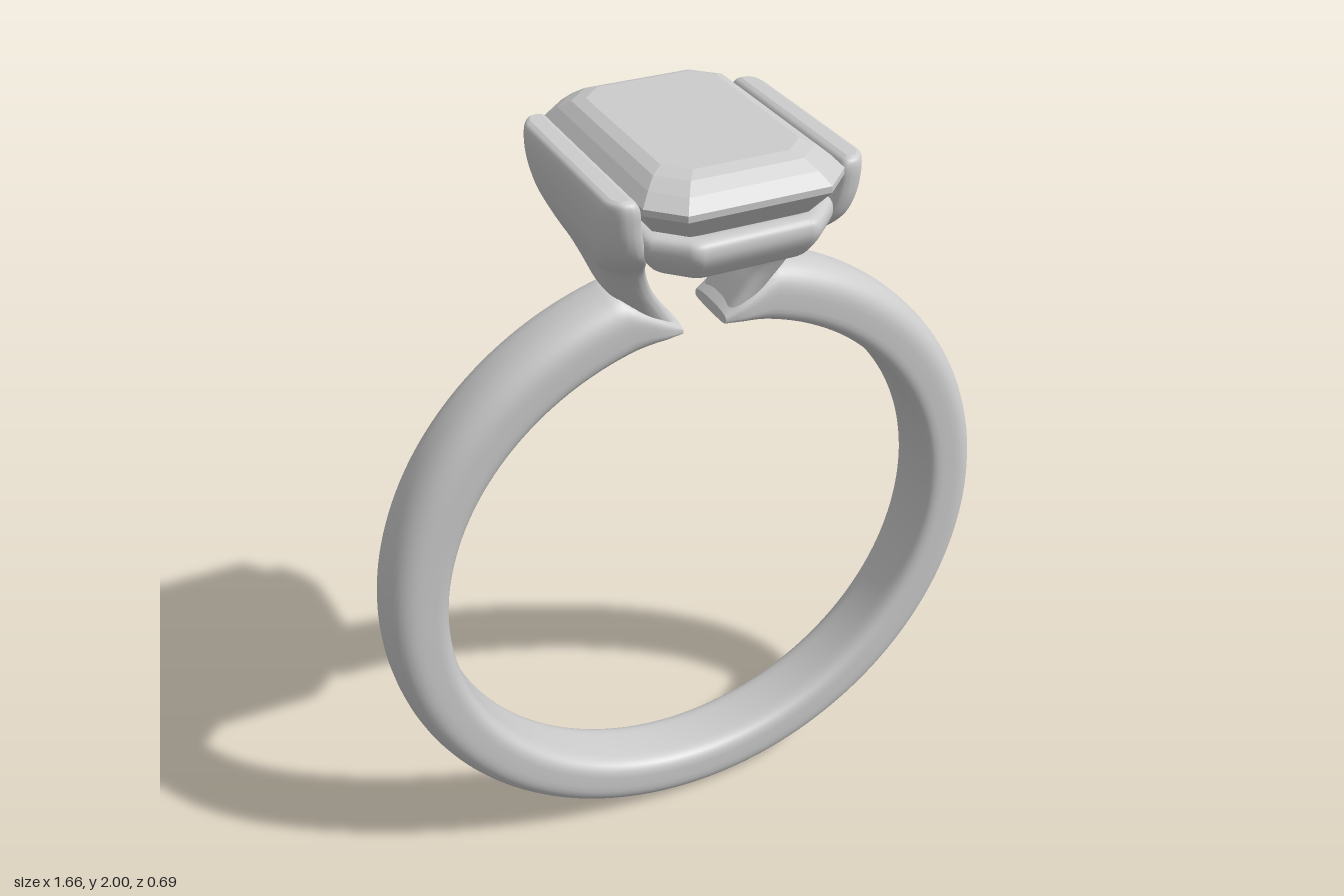
import * as THREE from 'three';

const V = (x, y, z) => new THREE.Vector3(x, y, z);

// Skin a list of equal-length loops; ends are capped, or joined when closed.
function loft(loops, { closed = false, flat = false } = {}) {
  const n = loops[0].length, m = loops.length;
  const pts = loops.flat();
  const faces = [];
  for (let i = 0; i < (closed ? m : m - 1); i++) {
    const a = i * n, b = ((i + 1) % m) * n;
    for (let j = 0; j < n; j++) {
      const l = (j + 1) % n;
      faces.push([a + j, b + j, b + l], [a + j, b + l, a + l]);
    }
  }
  // Caps have their own corners so their edges stay sharp
  const cap = (loop, start) => {
    const base = pts.length, mid = V(0, 0, 0);
    loop.forEach(p => mid.addScaledVector(p, 1 / n));
    pts.push(...loop, mid);
    for (let j = 0; j < n; j++) {
      const p = base + j, q = base + (j + 1) % n;
      faces.push(start ? [base + n, p, q] : [base + n, q, p]);
    }
  };
  if (!closed) {
    cap(loops[0], true);
    cap(loops[m - 1], false);
  }
  // The sign of the enclosed volume tells whether the faces point outward
  const volume = faces.reduce((s, [a, b, c]) => s + pts[a].dot(pts[b].clone().cross(pts[c])), 0);
  if (volume < 0) faces.forEach(f => f.reverse());
  let geo = new THREE.BufferGeometry().setFromPoints(pts);
  geo.setIndex(faces.flat());
  if (flat) geo = geo.toNonIndexed();
  geo.computeVertexNormals();
  return geo;
}

// Octagon with cut corners, as 2D points
function octagon(x, z, cut) {
  return [[x, z - cut], [x - cut, z], [cut - x, z], [-x, z - cut],
    [-x, cut - z], [cut - x, -z], [x - cut, -z], [x, cut - z]];
}

// Replace each corner of a 2D loop by a small arc
function soften(loop, r) {
  return loop.flatMap((p, i) => {
    const c = new THREE.Vector2(...p);
    const arm = q => new THREE.Vector2(...q).sub(c).setLength(r).add(c);
    const a = arm(loop.at(i - 1)), b = arm(loop[(i + 1) % loop.length]);
    return new THREE.QuadraticBezierCurve(a, c, b).getPoints(4).map(v => [v.x, v.y]);
  });
}

// Hoop, tapering to a wedge on both sides of the gap
function bandGeometry() {
  const cy = 0.83, inner = 0.676, outer = 0.83, gap = 0.08;
  const loops = [];
  const steps = 180;
  for (let i = 0; i <= steps; i++) {
    const a = gap + (2 * Math.PI - 2 * gap) * i / steps;
    const toGap = Math.min(a, 2 * Math.PI - a) - gap;
    const ro = THREE.MathUtils.lerp(0.705, outer, Math.min(1, toGap / 0.165));
    const hz = 0.094 - 0.012 * Math.max(0, 1 - toGap / 0.06);
    const mid = (inner + ro) / 2, half = (ro - inner) / 2;
    const loop = [];
    for (let j = 0; j < 40; j++) {
      const t = j / 40 * 2 * Math.PI, c = Math.cos(t), s = Math.sin(t);
      const e = c > 0 ? 2 / 2.4 : 2 / 4.5; // fuller outside, squarer inside
      const r = mid + half * Math.sign(c) * Math.abs(c) ** e;
      loop.push(V(r * Math.sin(a), cy + r * Math.cos(a), hz * Math.sign(s) * Math.abs(s) ** e));
    }
    loops.push(loop);
  }
  return loft(loops);
}

// Flaring claw plate: rows of inner x, outer x, height, half width
function clawGeometry(side) {
  const rows = [
    [0.07, 0.16, 1.54, 0.08], [0.107, 0.2, 1.6, 0.092], [0.133, 0.225, 1.64, 0.104],
    [0.157, 0.245, 1.69, 0.125], [0.172, 0.262, 1.73, 0.15], [0.186, 0.277, 1.76, 0.185],
    [0.2, 0.289, 1.79, 0.222], [0.213, 0.299, 1.82, 0.247], [0.225, 0.307, 1.86, 0.262],
    [0.232, 0.311, 1.9, 0.268], [0.235, 0.309, 1.937, 0.27], [0.243, 0.302, 1.953, 0.265],
    [0.256, 0.29, 1.96, 0.252]];
  const edge = k => new THREE.CatmullRomCurve3(rows.map(r => V(r[k], r[2], r[3])));
  const a = edge(0), b = edge(1);
  const loops = [];
  for (let i = 0; i <= 48; i++) {
    const p = a.getPoint(i / 48), q = b.getPoint(i / 48);
    const cx = (p.x + q.x) / 2, hx = (q.x - p.x) / 2, hz = (p.z + q.z) / 2;
    // The outer corners are rounder than the inner ones
    const section = [[hx, hz - 1.2 * hx], [0.2 * hx, hz], [-hx, hz],
      [-hx, -hz], [0.2 * hx, -hz], [hx, 1.2 * hx - hz]];
    loops.push(soften(section, hx * 0.55).map(([x, z]) => V(side * (cx + x), (p.y + q.y) / 2, z)));
  }
  return loft(loops);
}

// Rounded rail under the stone: inset from the outer edge, height
function railGeometry() {
  const profile = new THREE.CatmullRomCurve3([[0.075, 1.855], [0.035, 1.872], [0.006, 1.865],
    [0, 1.835], [0.02, 1.795], [0.042, 1.772], [0.075, 1.775], [0.085, 1.815]]
    .map(([d, y]) => V(d, y, 0)), true);
  const loops = profile.getPoints(31).slice(0, 31).map(({ x: d, y }) =>
    soften(octagon(0.229 - d, 0.338 - d, 0.085 - d * 0.5), 0.018).map(([x, z]) => V(x, y, z)));
  return loft(loops, { closed: true });
}

// Step-cut stone: half x, half z, corner cut, height
function stoneGeometry() {
  const rows = [[0.004, 0.1, 0.002, 1.69], [0.12, 0.2, 0.045, 1.77], [0.2, 0.295, 0.06, 1.872],
    [0.237, 0.343, 0.07, 1.93], [0.237, 0.343, 0.07, 1.945], [0.214, 0.312, 0.064, 1.97],
    [0.19, 0.28, 0.058, 1.99], [0.163, 0.25, 0.05, 2]];
  return loft(rows.map(([hx, hz, cut, y]) => octagon(hx, hz, cut).map(([x, z]) => V(x, y, z))), { flat: true });
}

export function createModel() {
  const grey = new THREE.MeshStandardMaterial({ color: 0xcccccc });
  grey.name = 'light grey';
  const group = new THREE.Group();
  group.name = 'ring';
  const add = (name, geometry) => {
    const mesh = new THREE.Mesh(geometry, grey);
    mesh.name = name;
    group.add(mesh);
  };
  add('band', bandGeometry());
  add('leftClaw', clawGeometry(1));
  add('rightClaw', clawGeometry(-1));
  add('settingRail', railGeometry());
  add('stone', stoneGeometry());
  return group;
}
